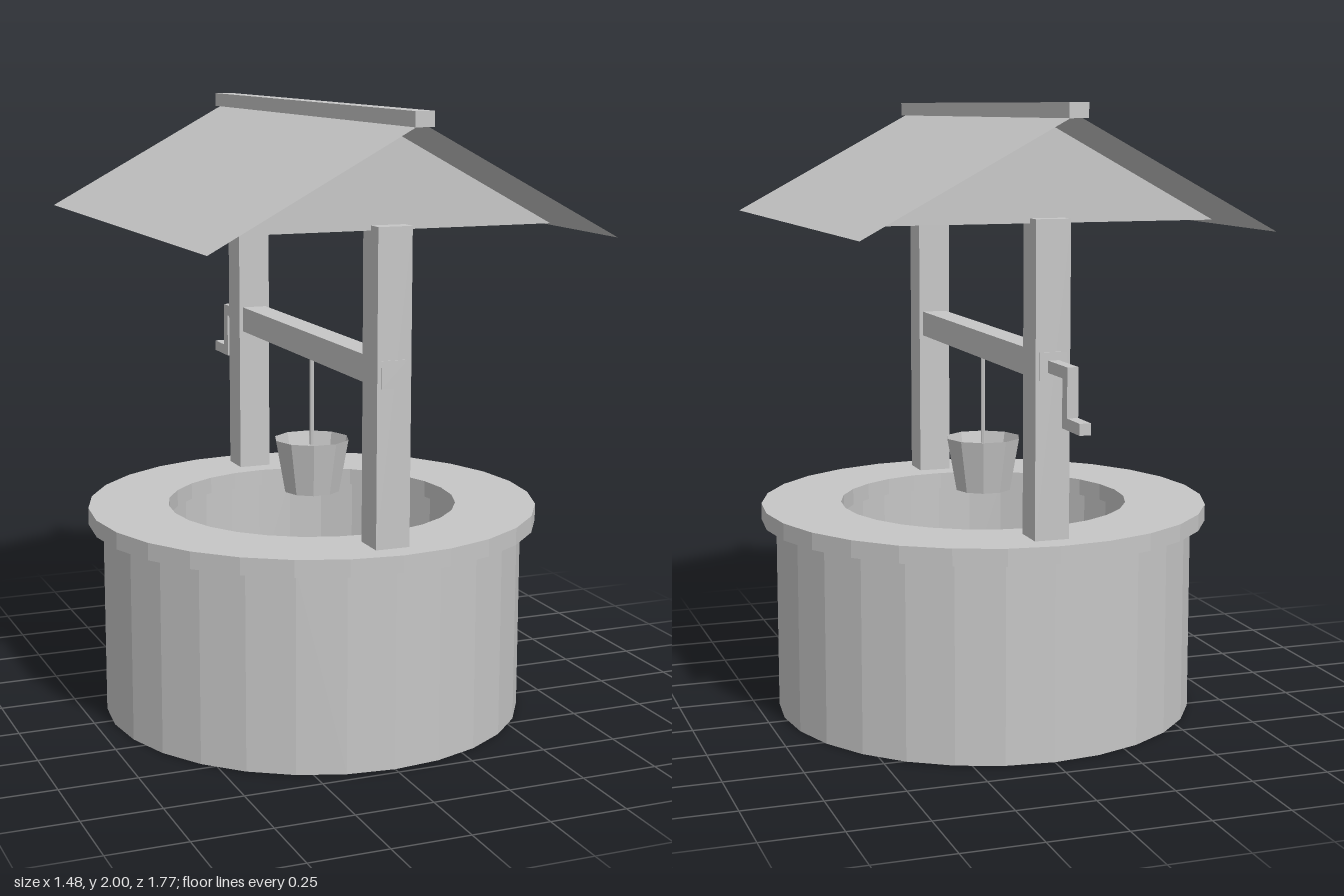
import * as THREE from 'three';

export function createModel() {
  const model = new THREE.Group();
  model.name = 'well';

  const grey = new THREE.MeshStandardMaterial({ color: 0xc6c6c6, flatShading: true, side: THREE.DoubleSide });
  grey.name = 'plain grey';

  const CENTRE_Z = 0.035; // axis of the round base

  function add(name, geometry, parent = model) {
    const mesh = new THREE.Mesh(geometry, grey);
    mesh.name = name;
    parent.add(mesh);
    return mesh;
  }

  // box given by its ranges in y and z, centred on x = 0
  function beam(name, width, y0, y1, z0, z1, parent) {
    const mesh = add(name, new THREE.BoxGeometry(width, y1 - y0, z1 - z0), parent);
    mesh.position.set(0, (y0 + y1) / 2, (z0 + z1) / 2);
    return mesh;
  }

  // turned shape from [radius, height] pairs, about the base axis
  function turned(name, profile, sides, start = 0) {
    const points = profile.map(([r, y]) => new THREE.Vector2(r, y));
    const mesh = add(name, new THREE.LatheGeometry(points, sides, start));
    mesh.position.z = CENTRE_Z;
    return mesh;
  }

  // round base: open outer wall, inner shaft with a floor, rim on top
  turned('outerWall', [[0.69, 0], [0.69, 0.64]], 28);
  turned('innerShaft', [[0, 0.28], [0.5, 0.28], [0.5, 0.64]], 28);
  turned('rim', [[0.475, 0.635], [0.738, 0.635], [0.738, 0.69], [0.475, 0.69], [0.475, 0.635]], 28);

  // posts and the gable board set in the middle of each
  const gable = new THREE.Shape([
    new THREE.Vector2(-0.54, 1.645),
    new THREE.Vector2(0.54, 1.645),
    new THREE.Vector2(0, 1.94),
  ]);
  for (const [end, z] of [['front', 0.637], ['back', -0.565]]) {
    beam(end + 'Post', 0.11, 0.69, 1.66, z - 0.055, z + 0.055);
    add(end + 'Gable', new THREE.ShapeGeometry(gable)).position.z = z;
  }

  // roof: two thin sloping sheets under a ridge beam
  const rise = 0.345, run = 0.64;
  for (const [side, s] of [['left', 1], ['right', -1]]) {
    const sheet = new THREE.PlaneGeometry(Math.hypot(rise, run), 1.67);
    sheet.rotateX(-Math.PI / 2);
    sheet.rotateZ(-s * Math.atan2(rise, run));
    add(side + 'RoofSheet', sheet).position.set(s * run / 2, 1.62 + rise / 2, 0.035);
  }
  beam('ridgeBeam', 0.06, 1.955, 2, -0.82, 0.885);

  // winding axle and crank
  beam('axle', 0.085, 1.18, 1.265, -0.625, 0.695);
  const crank = new THREE.Group();
  crank.name = 'crank';
  model.add(crank);
  beam('crankShaft', 0.035, 1.203, 1.24, -0.745, -0.62, crank);
  beam('crankArm', 0.035, 1.055, 1.24, -0.785, -0.745, crank);
  beam('crankHandle', 0.035, 1.055, 1.09, -0.885, -0.785, crank);

  // rope and open bucket
  const rope = add('rope', new THREE.CylinderGeometry(0.007, 0.007, 0.32, 6));
  rope.position.set(0, 1.04, CENTRE_Z);
  turned('bucket', [[0, 0.725], [0.093, 0.725], [0.125, 0.9]], 10, Math.PI / 2);

  return model;
}
